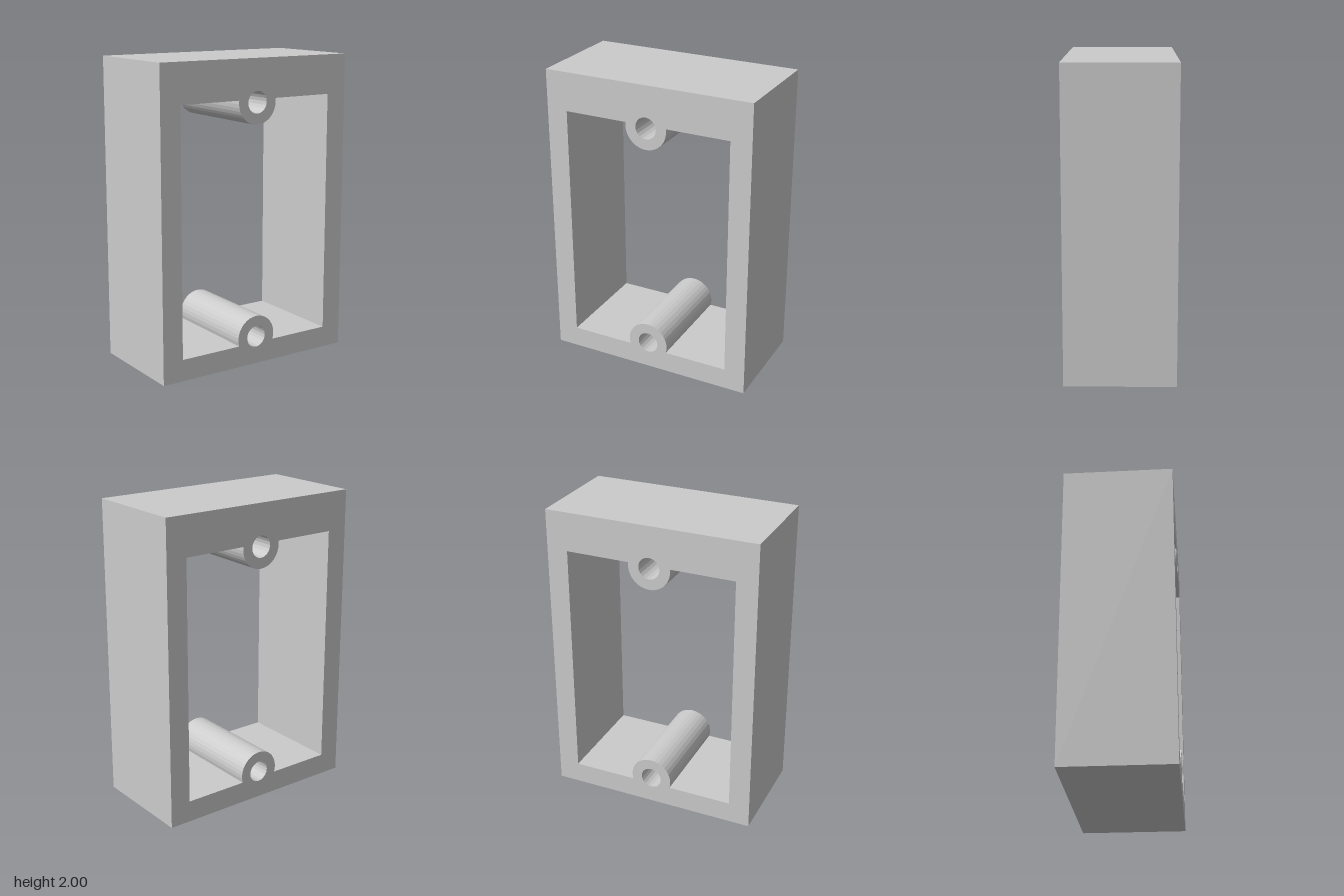
import * as THREE from 'three';

const W = 0.706, H = 2, D = 0.706;             // half width, height, depth
const IN_X = 0.565, FLOOR = 0.142, CEIL = 1.743; // inner opening
const BOSS_R = 0.141, HOLE_R = 0.071;
const LOW_Y = 0.185, HIGH_Y = 1.724;           // boss centres

function screwHole(y) {
  return new THREE.Path().absarc(0, y, HOLE_R, 0, Math.PI * 2, true);
}

export function createModel() {
  const group = new THREE.Group();
  const material = new THREE.MeshStandardMaterial({ color: 0xcccccc, flatShading: true });

  // Outer rectangle
  const outline = new THREE.Shape();
  outline.moveTo(-W, 0).lineTo(W, 0).lineTo(W, H).lineTo(-W, H).closePath();

  // Opening, notched by a round screw boss at the bottom and the top
  const low = Math.asin((FLOOR - LOW_Y) / BOSS_R);
  const high = Math.asin((CEIL - HIGH_Y) / BOSS_R);
  const opening = new THREE.Path();
  opening.moveTo(-IN_X, CEIL).lineTo(-IN_X, FLOOR);
  opening.absarc(0, LOW_Y, BOSS_R, Math.PI - low, low, true);
  opening.lineTo(IN_X, FLOOR).lineTo(IN_X, CEIL);
  opening.absarc(0, HIGH_Y, BOSS_R, high, -Math.PI - high, true);
  opening.closePath();

  outline.holes.push(opening, screwHole(LOW_Y), screwHole(HIGH_Y));

  // Frame with both bosses, extruded through the full depth
  const geometry = new THREE.ExtrudeGeometry(outline, {
    depth: D, bevelEnabled: false, curveSegments: 10,
  });
  geometry.translate(0, 0, -D / 2);
  const frame = new THREE.Mesh(geometry, material);
  frame.name = 'frameWithScrewBosses';
  group.add(frame);
  return group;
}
